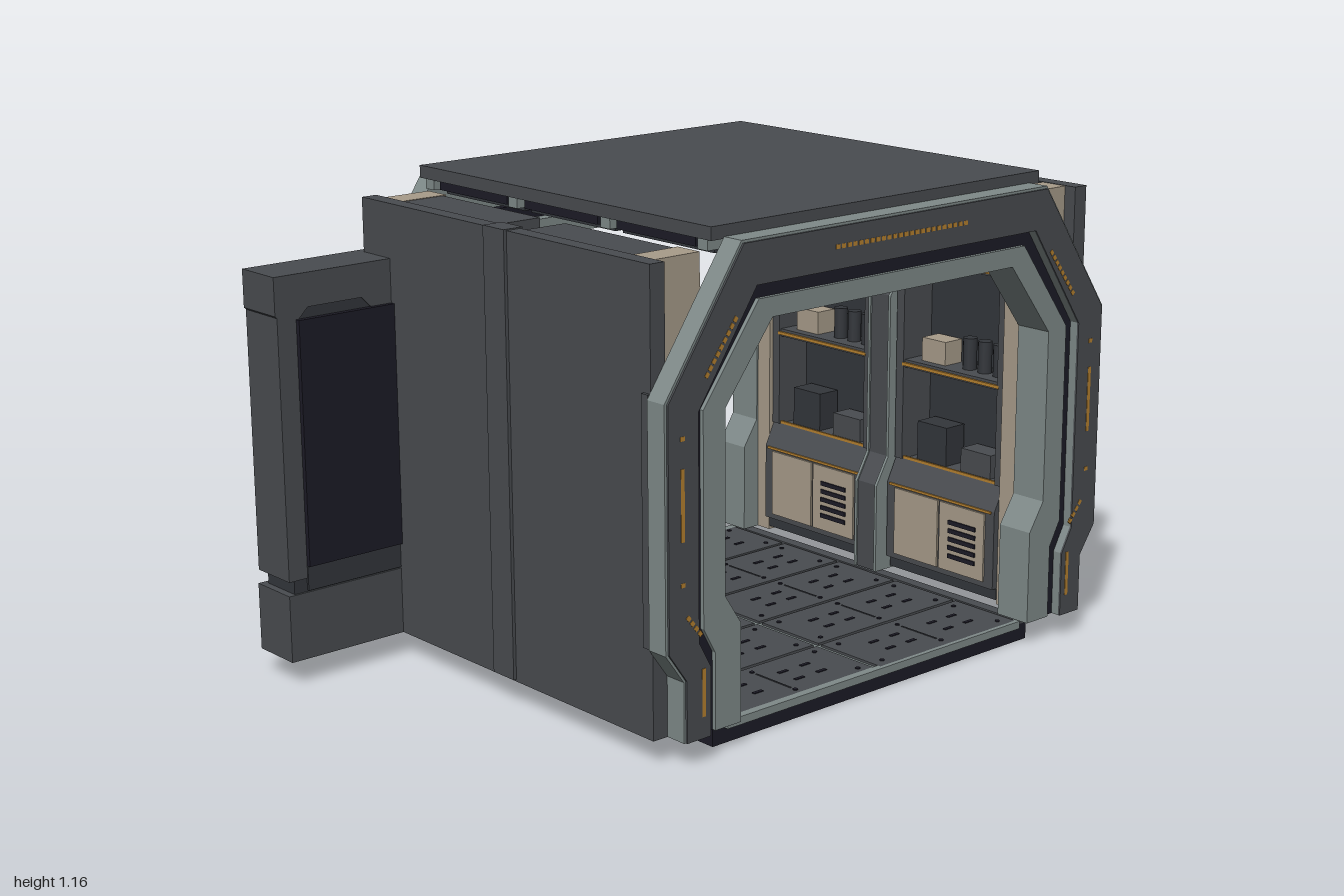
import * as THREE from 'three';

const mat = (name, color) => {
  const m = new THREE.MeshStandardMaterial({ color });
  m.name = name;
  return m;
};

export function createModel() {
  const grey = mat('dark grey panel', 0x494c50);
  const slate = mat('slate', 0x33363b);
  const navy = mat('near black navy', 0x1c1b26);
  const light = mat('light grey trim', 0x7f8a89);
  const beige = mat('beige', 0xa89c8a);
  const orange = mat('orange', 0xb5802f);

  const model = new THREE.Group();
  model.name = 'corridorModule';
  const group = (name, parent = model) => {
    const g = new THREE.Group();
    g.name = name;
    parent.add(g);
    return g;
  };
  const add = (parent, name, geo, m) => {
    const mesh = new THREE.Mesh(geo, m);
    mesh.name = name;
    parent.add(mesh);
    return mesh;
  };
  // Box from its extents; s = -1 mirrors it to the other side
  const box = (p, name, m, s, x0, x1, y0, y1, z0, z1) => {
    const b = add(p, name, new THREE.BoxGeometry(x1 - x0, y1 - y0, z1 - z0), m);
    b.position.set(s * (x0 + x1) / 2, (y0 + y1) / 2, (z0 + z1) / 2);
    return b;
  };
  const shapeOf = (pts) => new THREE.Shape(pts.map(([x, y]) => new THREE.Vector2(x, y)));
  // Outline extruded along z
  const prism = (p, name, m, pts, z0, z1, hole) => {
    const shape = shapeOf(pts);
    if (hole) shape.holes.push(shapeOf(hole));
    const geo = new THREE.ExtrudeGeometry(shape, { depth: z1 - z0, bevelEnabled: false });
    geo.translate(0, 0, z0);
    return add(p, name, geo, m);
  };
  // Mirrored outlines are reversed so that they keep their winding
  const side = (pts, s) => (s > 0 ? pts : pts.map(([x, y]) => [-x, y]).reverse());
  // Arch band between two half profiles (right half, bottom to top)
  const arch = (outer, inner) => [
    ...outer, ...side(outer, -1), ...side(inner, -1).reverse(), ...[...inner].reverse(),
  ];

  // Floor: base slab, tiles with bolts and slots, end sills
  const floor = group('floor');
  box(floor, 'floorBase', navy, 1, -0.515, 0.515, 0, 0.042, -0.522, 0.512);
  box(floor, 'floorBed', light, 1, -0.48, 0.48, 0.042, 0.049, -0.515, 0.51);
  for (const z of [-0.522, 0.503]) box(floor, 'sill', light, 1, -0.48, 0.48, 0.036, 0.055, z, z + 0.02);
  for (const s of [-1, 1]) {
    box(floor, 'floorEdge', grey, s, 0.485, 0.515, 0.042, 0.054, -0.522, 0.512);
    for (let r = 0; r < 5; r++) {
      const z = -0.517 + r * 0.207;
      box(floor, 'floorTile', grey, s, 0.008, 0.475, 0.046, 0.055, z + 0.004, z + 0.201);
      for (const x of [0.04, 0.24, 0.44]) for (const dz of [0.03, 0.175]) {
        const bolt = add(floor, 'bolt', new THREE.CylinderGeometry(0.006, 0.006, 0.003, 8), navy);
        bolt.position.set(s * x, 0.056, z + dz);
      }
      for (const x of [0.1, 0.17, 0.3, 0.37]) for (const dz of [0.07, 0.125])
        box(floor, 'floorSlot', navy, s, x, x + 0.028, 0.055, 0.057, z + dz, z + dz + 0.009);
      box(floor, 'tileSeam', slate, s, 0.238, 0.242, 0.055, 0.0565, z + 0.045, z + 0.16);
    }
  }

  // Roof: cover plate, under frame, clips and vented ceiling panels
  const roof = group('roof');
  box(roof, 'roofPlate', grey, 1, -0.515, 0.515, 1.13, 1.16, -0.525, 0.51);
  box(roof, 'roofUnderside', navy, 1, -0.48, 0.48, 1.108, 1.13, -0.5, 0.49);
  for (const z of [-0.33, -0.005, 0.32]) {
    box(roof, 'roofEdgeStrip', navy, 1, -0.505, 0.505, 1.108, 1.13, z - 0.13, z + 0.13);
    box(roof, 'ceilingPanel', beige, 1, -0.25, 0.25, 1.088, 1.108, z - 0.15, z + 0.15);
    for (const s of [-1, 1]) {
      box(roof, 'ceilingSidePanel', slate, s, 0.27, 0.47, 1.092, 1.108, z - 0.15, z + 0.15);
      for (let i = 0; i < 5; i++) {
        const dz = z - 0.1 + i * 0.045;
        box(roof, 'ceilingSlot', navy, s, 0.13, 0.22, 1.084, 1.088, dz, dz + 0.02);
      }
    }
  }
  for (const s of [-1, 1]) for (const z of [-0.49, -0.17, 0.16, 0.48])
    box(roof, 'roofClip', light, s, 0.45, 0.512, 1.106, 1.136, z - 0.016, z + 0.016);

  // Portal frames, the same at each end
  const outer = [[0.645, 0.06], [0.645, 0.2], [0.695, 0.27], [0.695, 0.82], [0.48, 1.135]];
  const facePlate = [[0.64, 0.06], [0.64, 0.202], [0.689, 0.272], [0.689, 0.818], [0.477, 1.129]];
  const face = [[0.572, 0.06], [0.572, 0.22], [0.605, 0.28], [0.605, 0.79], [0.44, 1.035]];
  const lip = [[0.545, 0.06], [0.545, 0.24], [0.578, 0.3], [0.578, 0.785], [0.42, 1.0]];
  const opening = [[0.47, 0.06], [0.47, 0.29], [0.515, 0.36], [0.515, 0.78], [0.38, 0.955]];
  // Row of n orange dashes, flush with the face of the portal
  const strip = (p, x, y, len, angle, n = 1) => {
    const row = group('orangeStrip', p), step = len / n;
    row.position.set(x, y, 0.572);
    row.rotation.z = angle;
    for (let i = 0; i < n; i++) {
      const x0 = -len / 2 + i * step;
      box(row, 'dash', orange, 1, x0, x0 + (n > 1 ? step * 0.7 : step), -0.005, 0.005, -0.003, 0);
    }
  };
  for (const end of [0, 1]) {
    const f = group(end ? 'backPortal' : 'frontPortal');
    f.rotation.y = end * Math.PI;
    prism(f, 'portalFrame', light, arch(outer, face), 0.512, 0.566);
    prism(f, 'portalFace', grey, arch(facePlate, face), 0.566, 0.571);
    prism(f, 'portalInset', navy, arch(face, lip), 0.49, 0.545);
    prism(f, 'portalLining', light, arch(lip, opening), 0.46, 0.555);
    strip(f, 0, 1.085, 0.42, 0, 24);
    for (const s of [-1, 1]) {
      strip(f, s * 0.65, 0.595, 0.16, Math.PI / 2);
      strip(f, s * 0.54, 0.92, 0.15, -s * 0.93, 9);
      strip(f, s * 0.592, 0.165, 0.11, Math.PI / 2);
      strip(f, s * 0.617, 0.32, 0.07, s * 0.9, 4);
      for (const y of [0.42, 0.74]) strip(f, s * 0.65, y, 0.012, 0);
      box(f, 'portalFlange', grey, s, 0.64, 0.693, 0.27, 0.83, 0.49, 0.512);
    }
  }

  // Side walls with posts, rib and two equipment bays each
  const cabinet = [[0.64, 0.1], [0.505, 0.1], [0.505, 0.3], [0.535, 0.36], [0.64, 0.36]].reverse();
  const rib = [[0.645, 0.06], [0.645, 1.0], [0.56, 1.0], [0.56, 0.84], [0.52, 0.78],
    [0.52, 0.36], [0.48, 0.29], [0.48, 0.06]];
  for (const s of [-1, 1]) {
    const w = group(s > 0 ? 'leftWall' : 'rightWall');
    box(w, 'wallSlab', grey, s, 0.645, 0.685, 0.06, 1.105, -0.52, 0.512);
    box(w, 'outerRib', grey, s, 0.64, 0.693, 0.065, 1.108, -0.043, 0.032);
    prism(w, 'innerRib', grey, side(rib, s), -0.04, 0.03);
    box(w, 'ribCap', slate, s, 0.525, 0.645, 1.0, 1.06, -0.043, 0.032);
    for (const z of [-0.045, 0.025])
      prism(w, 'ribTrim', light, side(rib.map(([x, y]) => [x - 0.004, y]), s), z, z + 0.008);
    for (const z of [-0.485, 0.41]) box(w, 'cornerPost', beige, s, 0.52, 0.645, 0.06, 1.104, z, z + 0.07);
    for (const z of [-0.413, 0.043]) {
      const b = group('equipmentBay', w), z1 = z + 0.366;
      prism(b, 'cabinet', grey, side(cabinet, s), z, z1);
      box(b, 'cabinetPlinth', slate, s, 0.52, 0.645, 0.07, 0.1, z, z1);
      for (const j of [z + 0.03, z + 0.187])
        box(b, 'cabinetDoor', beige, s, 0.5, 0.505, 0.115, 0.29, j, j + 0.15);
      box(b, 'cabinetTrim', orange, s, 0.501, 0.505, 0.294, 0.3, z + 0.01, z1 - 0.01);
      for (let i = 0; i < 5; i++)
        box(b, 'cabinetVent', navy, s, 0.496, 0.5, 0.15 + i * 0.022, 0.161 + i * 0.022, z + 0.22, z + 0.31);
      box(b, 'nicheBack', slate, s, 0.63, 0.645, 0.36, 0.93, z, z1);
      box(b, 'bayHead', grey, s, 0.53, 0.645, 0.88, 1.103, z, z1);
      box(b, 'bayHeadTrim', orange, s, 0.526, 0.53, 0.885, 0.892, z + 0.02, z1 - 0.02);
      for (const j of [z, z1 - 0.025]) box(b, 'nicheJamb', grey, s, 0.53, 0.635, 0.36, 0.9, j, j + 0.025);
      box(b, 'shelf', grey, s, 0.535, 0.635, 0.6, 0.62, z + 0.02, z1 - 0.02);
      box(b, 'shelfTrim', orange, s, 0.529, 0.535, 0.605, 0.613, z + 0.02, z1 - 0.02);
      box(b, 'worktopTrim', orange, s, 0.535, 0.541, 0.36, 0.367, z + 0.025, z1 - 0.025);
      box(b, 'lowerCrate', slate, s, 0.56, 0.625, 0.36, 0.46, z + 0.05, z + 0.15);
      box(b, 'lowerCase', grey, s, 0.56, 0.62, 0.36, 0.42, z + 0.2, z + 0.3);
      if (s < 0 && z > 0) {
        // Jointed tool arm on the shelf
        const joints = [[-0.59, 0.62, 0.2], [-0.56, 0.71, 0.26], [-0.52, 0.76, 0.19], [-0.515, 0.66, 0.15]]
          .map((p) => new THREE.Vector3(...p));
        joints.forEach((p, i) => {
          add(b, 'armJoint', new THREE.SphereGeometry(0.018, 12, 8), beige).position.copy(p);
          if (!i) return;
          const d = p.clone().sub(joints[i - 1]);
          const link = add(b, 'armLink', new THREE.CylinderGeometry(0.011, 0.014, d.length(), 10), orange);
          link.position.copy(p).addScaledVector(d, -0.5);
          link.quaternion.setFromUnitVectors(new THREE.Vector3(0, 1, 0), d.normalize());
        });
      } else {
        box(b, 'shelfBox', beige, s, 0.56, 0.62, 0.62, 0.68, z + 0.06, z + 0.14);
        for (const dz of [0.2, 0.25, 0.3]) {
          const can = add(b, 'canister', new THREE.CylinderGeometry(0.018, 0.018, 0.08, 12), slate);
          can.position.set(s * 0.585, 0.66, z + dz);
        }
      }
    }
  }

  // Rear side lockers, with a dark plate in front and an open niche behind
  const bevelRect = (x0, x1, y0, y1, c) => [[x0 + c, y0], [x1 - c, y0], [x1, y0 + c], [x1, y1 - c],
    [x1 - c, y1], [x0 + c, y1], [x0, y1 - c], [x0, y0 + c]];
  for (const s of [-1, 1]) {
    const l = group(s > 0 ? 'leftLocker' : 'rightLocker');
    const [hole, rim, inner] = [0, 0.014, 0.024].map((d) =>
      side(bevelRect(0.735 + d, 0.945 - d, 0.335 + d, 0.895 - d, 0.032 - d / 3), s));
    prism(l, 'lockerBody', grey, side([[0.66, 0.255], [0.995, 0.255], [0.995, 0.88], [1, 0.885],
      [1, 0.975], [0.66, 0.975]], s), -0.545, -0.415, hole);
    prism(l, 'nicheRim', light, hole, -0.55, -0.43, rim);
    prism(l, 'nicheLining', light, rim, -0.53, -0.43, inner);
    box(l, 'lockerBack', slate, s, 0.7, 0.96, 0.3, 0.92, -0.435, -0.418);
    box(l, 'frontPlate', navy, s, 0.68, 0.945, 0.285, 0.87, -0.417, -0.403);
    box(l, 'lockerNeck', slate, s, 0.67, 0.98, 0.21, 0.26, -0.53, -0.418);
    box(l, 'frontPlateSill', slate, s, 0.68, 0.945, 0.225, 0.285, -0.42, -0.412);
    box(l, 'neckGrille', navy, s, 0.78, 0.9, 0.21, 0.28, -0.549, -0.52);
    box(l, 'lockerBase', grey, s, 0.66, 0.998, 0.06, 0.222, -0.545, -0.412);
    for (let i = 0; i < 3; i++) {
      const mark = box(l, 'baseStripe', orange, s, 0.79 + i * 0.035, 0.805 + i * 0.035, 0.115, 0.17, -0.547, -0.543);
      mark.rotation.z = 0.35;
    }
    box(l, 'lockerShelf', grey, s, 0.755, 0.925, 0.6, 0.62, -0.525, -0.43);
    box(l, 'lockerShelfTrim', orange, s, 0.77, 0.91, 0.606, 0.613, -0.529, -0.525);
    box(l, 'lockerBox', s < 0 ? beige : slate, s, 0.79, 0.88, 0.62, 0.7, -0.52, -0.44);
    box(l, 'lockerDevice', slate, s, 0.785, 0.885, 0.365, 0.51, -0.525, -0.44);
    box(l, 'deviceCap', grey, s, 0.8, 0.87, 0.51, 0.525, -0.515, -0.45);
    box(l, 'deviceBand', grey, s, 0.8, 0.87, 0.4, 0.47, -0.529, -0.525);
  }
  return model;
}
